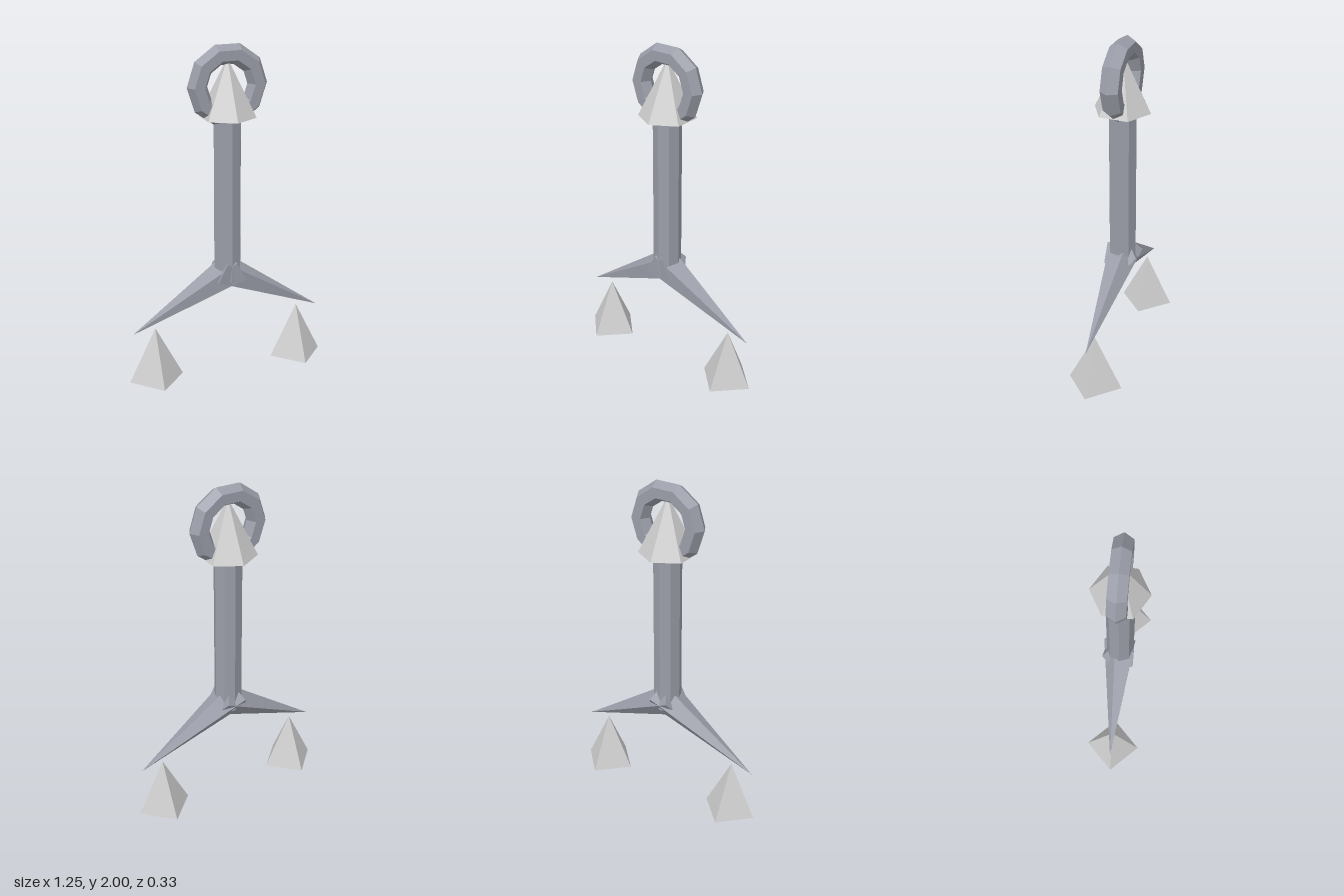
import * as THREE from 'three';

export function createModel() {
  const group = new THREE.Group();
  const steel = new THREE.MeshStandardMaterial({ color: 0x9a9da8, flatShading: true });
  const pale = new THREE.MeshStandardMaterial({ color: 0xcccccc, flatShading: true });

  const add = (name, geometry, material, x, y) => {
    const mesh = new THREE.Mesh(geometry, material);
    mesh.name = name;
    mesh.position.set(x, y, 0);
    group.add(mesh);
    return mesh;
  };

  // Octagonal shaft
  const bottom = 0.59, top = 1.59;
  add('shaft', new THREE.CylinderGeometry(0.083, 0.083, top - bottom, 8), steel, 0, (top + bottom) / 2);

  // Faceted ring with a six-sided cone inside it
  add('ring', new THREE.TorusGeometry(0.18, 0.06, 6, 10), steel, 0, 1.772);
  const coneHeight = 0.335, coneRadius = 0.167;
  add('topCone', new THREE.ConeGeometry(coneRadius, coneHeight, 6), pale, 0, top + coneHeight / 2);

  // Five-sided tapering arms that cross at the foot of the shaft, and the pyramids below their tips
  const armBase = new THREE.Vector2(-0.058, 0.66);
  const armTip = new THREE.Vector2(0.6, 0.315);
  const armLength = armBase.distanceTo(armTip);
  const slope = Math.atan2(armBase.y - armTip.y, armTip.x - armBase.x);
  for (const [side, s] of [['left', 1], ['right', -1]]) {
    const armGeometry = new THREE.ConeGeometry(0.107, armLength, 5);
    armGeometry.rotateY(Math.PI).translate(0, armLength / 2, 0);
    const arm = add(side + 'Arm', armGeometry, steel, s * armBase.x, armBase.y);
    arm.rotation.z = -s * (Math.PI / 2 + slope);

    add(side + 'Pyramid', new THREE.ConeGeometry(coneRadius, coneHeight, 4), pale, s * 0.46, coneHeight / 2);
  }

  return group;
}
